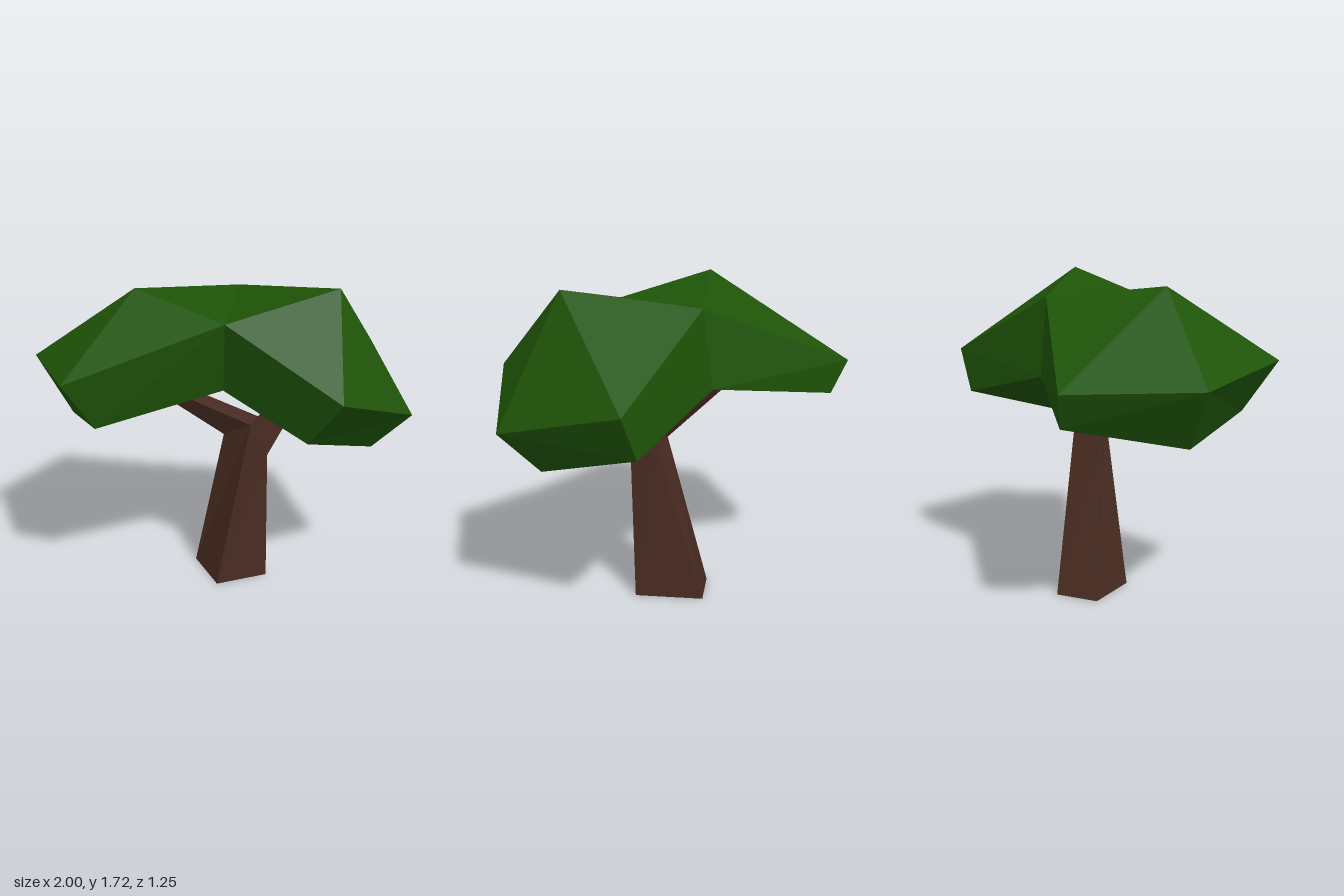
import * as THREE from 'three';

// Builds flat-sided geometry from polygons, each a counter-clockwise loop of points
function fromPolygons(polygons) {
  const positions = [];
  for (const p of polygons) {
    for (let i = 1; i < p.length - 1; i++) positions.push(...p[0], ...p[i], ...p[i + 1]);
  }
  const geometry = new THREE.BufferGeometry();
  geometry.setAttribute('position', new THREE.Float32BufferAttribute(positions, 3));
  geometry.computeVertexNormals();
  return geometry;
}

// Joins two matching rings with side faces
function bridge(a, b) {
  return a.map((p, i) => {
    const j = (i + 1) % a.length;
    return [p, a[j], b[j], b[i]];
  });
}

// Waist of the canopy, shared by both lobes
const waist = {
  front: [0.08, 1.57, 0.27], back: [0.03, 1.61, -0.35],
  lowFront: [0.05, 1.19, 0.165], lowBack: [0, 1.205, -0.395],
};

const leftLobe = {
  ridge: [0.61, 1.715, 0.025], end: [1, 1.075, 0.01], low: [0.8, 0.855, -0.055],
  front: [0.69, 1.27, 0.465], lowFront: [0.51, 1.0, 0.32],
  back: [0.73, 1.265, -0.63], lowBack: [0.625, 1.035, -0.605],
};

const rightLobe = {
  ridge: [-0.415, 1.685, 0.12], end: [-1, 1.27, 0.05], low: [-0.8, 0.962, 0.065],
  front: [-0.645, 1.325, 0.625], lowFront: [-0.53, 1.06, 0.49],
  back: [-0.78, 1.265, -0.575], lowBack: [-0.7, 1.09, -0.54],
};

// Facets of one lobe, from the waist out to its end
function lobeFaces(l, mirrored) {
  const faces = [
    [l.ridge, waist.back, waist.front],
    [l.ridge, l.back, waist.back],
    [l.ridge, waist.front, l.front],
    [l.ridge, l.front, l.end],
    [l.ridge, l.end, l.back],
    [waist.front, waist.lowFront, l.lowFront, l.front],
    [l.back, l.lowBack, waist.lowBack, waist.back],
    [l.end, l.front, l.lowFront, l.low],
    [l.end, l.low, l.lowBack, l.back],
    [l.low, l.lowFront, waist.lowFront, waist.lowBack, l.lowBack],
  ];
  // Reversing all but the first corner keeps the same diagonals
  return mirrored ? faces.map(([first, ...rest]) => [first, ...rest.reverse()]) : faces;
}

export function createModel() {
  const leafGreen = new THREE.MeshStandardMaterial({ color: 0x1e5408 });
  const barkBrown = new THREE.MeshStandardMaterial({ color: 0x492c22, side: THREE.DoubleSide });
  const tree = new THREE.Group();
  tree.name = 'tree';

  const add = (name, polygons, material) => {
    const mesh = new THREE.Mesh(fromPolygons(polygons), material);
    mesh.name = name;
    tree.add(mesh);
  };

  // Four-sided trunk, open underneath; its top folds over a ridge between front and back corners
  const base = [[-0.18, 0, -0.16], [0, 0, 0.09], [0.25, 0, -0.07], [-0.01, 0, -0.325]];
  const fork = [[0.01, 0.86, -0.045], [0.17, 0.955, 0.03], [0.25, 0.76, -0.04], [0.18, 0.94, -0.14]];
  add('trunk', bridge(base, fork), barkBrown);

  // Three-sided branches growing from either side of the fork into the canopy
  const [right, front, left, back] = fork;
  const rightTip = [[-0.46, 1.12, -0.07], [-0.42, 1.17, 0.02], [-0.42, 1.17, -0.1]];
  const leftTip = [[0.34, 1.15, -0.1], [0.45, 1.14, -0.23], [0.35, 1.17, -0.24]];
  add('rightBranch', [...bridge([right, front, back], rightTip), rightTip], barkBrown);
  add('leftBranch', [...bridge([front, left, back], leftTip), leftTip], barkBrown);

  // Two-lobed canopy
  add('leftCanopy', lobeFaces(leftLobe, false), leafGreen);
  add('rightCanopy', lobeFaces(rightLobe, true), leafGreen);

  return tree;
}
